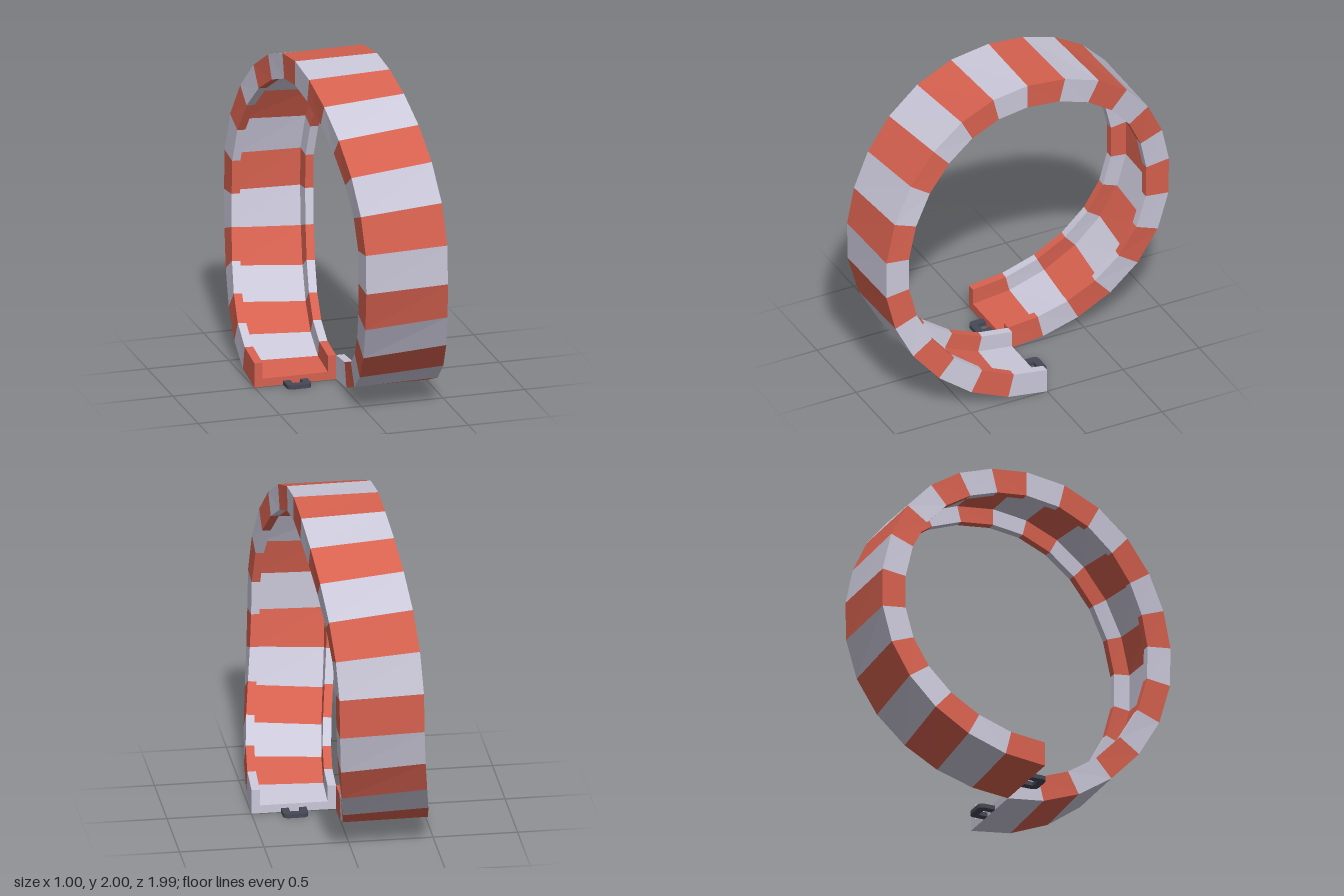
import * as THREE from 'three';

const SEGMENTS = 26;
// channel cross-section: [sideways, inward], counter-clockwise
const PROFILE = [
  [-0.25, 0], [0.25, 0], [0.25, 0.15], [0.2, 0.15],
  [0.2, 0.05], [-0.2, 0.05], [-0.2, 0.15], [-0.25, 0.15],
];

// one cross-section of the loop; sideways drift eases in and out every quarter turn
function ring(k) {
  const a = (k / SEGMENTS) * Math.PI * 2;
  const quarter = Math.floor(a / (Math.PI / 2) + 1e-6);
  const ease = Math.sin(a - quarter * Math.PI / 2) ** 2;
  const cx = 0.25 - 0.125 * (quarter + ease);
  const tilt = 0.1 * Math.abs(Math.sin(2 * a));
  return PROFILE.map(([u, h]) => new THREE.Vector3(
    cx + u,
    1 - Math.cos(a) * (1 - h) + Math.sin(a) * u * tilt,
    Math.sin(a) * (1 - h) + Math.cos(a) * u * tilt,
  ));
}

// every second segment of the track, with the end cap that belongs to it
function stripes(first) {
  const pos = [];
  const tri = (...pts) => pts.forEach((p) => pos.push(p.x, p.y, p.z));
  for (let k = first; k < SEGMENTS; k += 2) {
    const a = ring(k), b = ring(k + 1);
    for (let i = 0; i < a.length; i++) {
      const j = (i + 1) % a.length;
      tri(a[i], a[j], b[j]);
      tri(a[i], b[j], b[i]);
    }
  }
  const faces = THREE.ShapeUtils.triangulateShape(
    PROFILE.map(([u, h]) => new THREE.Vector2(u, h)), []);
  const end = ring(first === 0 ? 0 : SEGMENTS);
  for (const [p, q, r] of faces) {
    if (first === 0) tri(end[p], end[r], end[q]);
    else tri(end[p], end[q], end[r]);
  }
  const g = new THREE.BufferGeometry();
  g.setAttribute('position', new THREE.Float32BufferAttribute(pos, 3));
  g.computeVertexNormals();
  return g;
}

// flat U-shaped connector, open towards its track end
function connectorGeometry() {
  const s = new THREE.Shape();
  s.moveTo(-0.075, 0);
  s.lineTo(-0.075, 0.065);
  s.quadraticCurveTo(-0.075, 0.1, -0.04, 0.1);
  s.lineTo(0.04, 0.1);
  s.quadraticCurveTo(0.075, 0.1, 0.075, 0.065);
  s.lineTo(0.075, 0);
  s.lineTo(0.03, 0);
  s.lineTo(0.03, 0.055);
  s.lineTo(-0.03, 0.055);
  s.lineTo(-0.03, 0);
  s.closePath();
  const g = new THREE.ExtrudeGeometry(s, { depth: 0.025, bevelEnabled: false, curveSegments: 4 });
  g.rotateX(-Math.PI / 2); // lies flat, pointing to -z
  return g;
}

export function createModel() {
  const material = (name, color) => {
    const m = new THREE.MeshStandardMaterial({ color });
    m.name = name;
    return m;
  };
  const light = material('pale grey', 0xcac7d9);
  const red = material('coral red', 0xd6614f);
  const dark = material('dark metal', 0x464856);

  const model = new THREE.Group();
  model.name = 'loopTrack';
  const add = (name, geometry, mat) => {
    const mesh = new THREE.Mesh(geometry, mat);
    mesh.name = name;
    model.add(mesh);
    return mesh;
  };

  // striped channel
  add('paleTrackSegments', stripes(0), light);
  add('redTrackSegments', stripes(1), red);

  // connectors at both ends
  const hook = connectorGeometry();
  add('startConnector', hook, dark).position.set(0.25, 0, 0);
  const endHook = add('endConnector', hook, dark);
  endHook.position.set(-0.25, 0, 0);
  endHook.rotation.y = Math.PI;
  return model;
}
